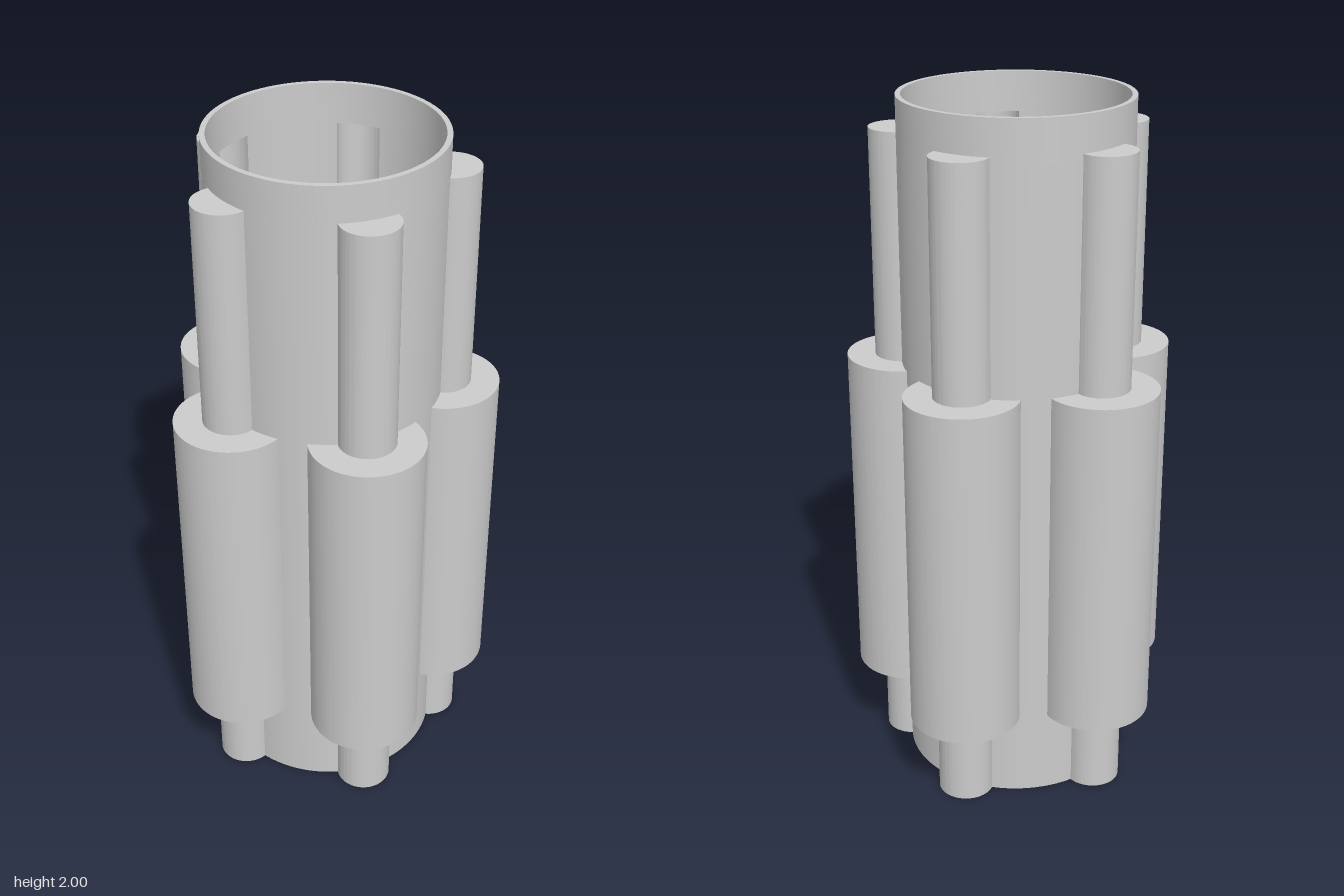
import * as THREE from 'three';
import { toCreasedNormals } from 'three/addons/utils/BufferGeometryUtils.js';

const CENTRE_X = -0.033; // axis of the main tube
const TUBE_R = 0.322;
const RING_R = 0.325; // distance of the five lobes from the axis
const ROD_R = 0.08;
const SLEEVE_R = 0.16;
const WALL = 0.015;
const LOBES = 5;

// Outline of a circle joined with five round lobes (lobeR = 0: plain circle)
function outline(path, tubeR, lobeR) {
  if (!lobeR) return path.absarc(0, 0, tubeR, 0, Math.PI * 2, false);
  // half angle at which lobe and tube meet, seen from the axis and from the lobe centre
  const a = Math.acos((tubeR ** 2 + RING_R ** 2 - lobeR ** 2) / (2 * tubeR * RING_R));
  const b = Math.atan2(tubeR * Math.sin(a), tubeR * Math.cos(a) - RING_R);
  const step = (Math.PI * 2) / LOBES;
  for (let i = 0; i < LOBES; i++) {
    const t = i * step;
    path.absarc(RING_R * Math.cos(t), RING_R * Math.sin(t), lobeR, t - b, t + b, false);
    path.absarc(0, 0, tubeR, t + a, t + step - a, false);
  }
  return path;
}

export function createModel() {
  const group = new THREE.Group();
  group.name = 'lobedTube';
  const material = new THREE.MeshStandardMaterial({ color: 0xcccccc });

  // One storey of the hollow body; innerLobe = null makes it solid
  function storey(name, y0, y1, outerLobe, innerLobe) {
    const shape = outline(new THREE.Shape(), TUBE_R, outerLobe);
    if (innerLobe !== null) shape.holes.push(outline(new THREE.Path(), TUBE_R - WALL, innerLobe));
    const extruded = new THREE.ExtrudeGeometry(shape, {
      depth: y1 - y0, bevelEnabled: false, curveSegments: 40,
    });
    extruded.rotateX(-Math.PI / 2);
    const mesh = new THREE.Mesh(toCreasedNormals(extruded, 0.5), material);
    mesh.name = name;
    mesh.position.set(CENTRE_X, y0, 0);
    group.add(mesh);
  }

  const rodIn = ROD_R - WALL;
  const sleeveIn = SLEEVE_R - WALL;
  storey('floor', 0, WALL, ROD_R, null);
  storey('lowerRods', WALL, 0.25, ROD_R, rodIn);
  storey('sleeveBottoms', 0.25, 0.25 + WALL, SLEEVE_R, rodIn);
  storey('sleeves', 0.25 + WALL, 1.25 - WALL, SLEEVE_R, sleeveIn);
  storey('sleeveTops', 1.25 - WALL, 1.25, SLEEVE_R, rodIn);
  storey('upperRods', 1.25, 1.9 - WALL, ROD_R, rodIn);
  storey('rodTops', 1.9 - WALL, 1.9, ROD_R, 0);
  storey('rim', 1.9, 2, 0, 0);

  return group;
}
